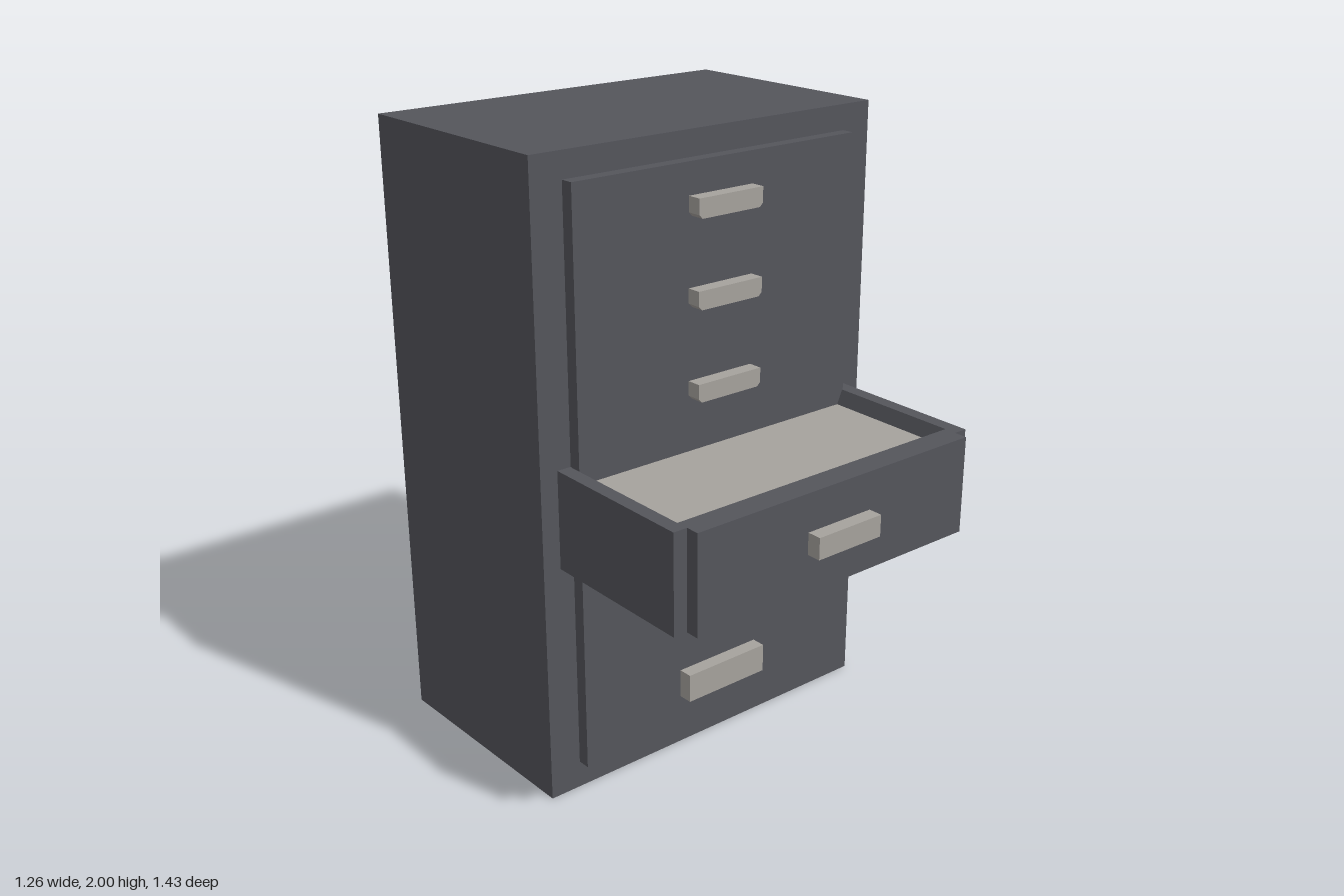
import * as THREE from 'three';

const SKEW = 0.02; // the front and back run slightly out of square

const paint = new THREE.MeshStandardMaterial({ color: 0x54555b });
paint.name = 'dark grey paint';
const metal = new THREE.MeshStandardMaterial({ color: 0xa6a29d });
metal.name = 'pale warm grey';

function add(parent, name, geometry, material) {
  const mesh = new THREE.Mesh(geometry, material);
  mesh.name = name;
  parent.add(mesh);
  return mesh;
}

// Box given by its limits
function box(x0, x1, y0, y1, z0, z1) {
  return new THREE.BoxGeometry(x1 - x0, y1 - y0, z1 - z0)
    .translate((x0 + x1) / 2, (y0 + y1) / 2, (z0 + z1) / 2);
}

// Slide each vertex in z according to its x
function skew(geometry) {
  const p = geometry.attributes.position;
  for (let i = 0; i < p.count; i++) p.setZ(i, p.getZ(i) + SKEW * p.getX(i));
  geometry.computeVertexNormals();
  return geometry;
}

// Handle bar, optionally with its lower corners cut off
function handleGeometry(halfWidth, y0, y1, z0, z1, cut) {
  if (!cut) return box(-halfWidth, halfWidth, y0, y1, z0, z1);
  const s = new THREE.Shape([
    new THREE.Vector2(-halfWidth + cut, y0), new THREE.Vector2(halfWidth - cut, y0),
    new THREE.Vector2(halfWidth, y0 + cut), new THREE.Vector2(halfWidth, y1),
    new THREE.Vector2(-halfWidth, y1), new THREE.Vector2(-halfWidth, y0 + cut),
  ]);
  return new THREE.ExtrudeGeometry(s, { depth: z1 - z0, bevelEnabled: false }).translate(0, 0, z0);
}

// Open tray skin lofted through rectangles [halfWidth, y, zBack, zFront]
function trayGeometry(sections) {
  const rings = sections.map(([w, y, zb, zf]) => [[-w, y, zf], [w, y, zf], [w, y, zb], [-w, y, zb]]);
  const pos = [];
  for (let i = 0; i < rings.length - 1; i++) {
    for (let j = 0; j < 4; j++) {
      const k = (j + 1) % 4;
      const [a, b, c, d] = [rings[i][j], rings[i][k], rings[i + 1][k], rings[i + 1][j]];
      pos.push(...a, ...b, ...c, ...a, ...c, ...d);
    }
  }
  const [a, b, c, d] = rings[0];
  pos.push(...a, ...c, ...b, ...a, ...d, ...c); // underside
  const g = new THREE.BufferGeometry();
  g.setAttribute('position', new THREE.Float32BufferAttribute(pos, 3));
  g.computeVertexNormals();
  return g;
}

export function createModel() {
  const model = new THREE.Group();
  model.name = 'drawerCabinet';

  // Cabinet shell with its raised front and back panels
  add(model, 'cabinetBody', skew(box(-0.631, 0.631, 0, 2, -0.667, 0.094)), paint);
  add(model, 'frontPanel', skew(box(-0.525, 0.525, 0.09, 1.92, 0.08, 0.135)), paint);
  add(model, 'backPanel', skew(box(-0.524, 0.524, 0.41, 0.77, -0.706, -0.65)), paint);

  // Handles of the closed drawers: half width, bottom, top, corner cut
  [
    [0.12, 1.762, 1.822, 0.012],
    [0.121, 1.492, 1.55, 0.012],
    [0.121, 1.207, 1.265, 0.012],
    [0.12, 0.55, 0.63, 0],
    [0.155, 0.2, 0.295, 0],
  ].forEach(([w, y0, y1, cut]) =>
    add(model, 'handle', skew(handleGeometry(w, y0, y1, 0.13, 0.181, cut)), metal));

  // Pulled-out drawer
  const drawer = new THREE.Group();
  drawer.name = 'openDrawer';
  drawer.rotation.y = -SKEW;
  model.add(drawer);
  add(drawer, 'drawerTray', trayGeometry([
    [0.57, 0.773, 0.06, 0.621],
    [0.57, 1.086, 0.06, 0.621],
    [0.525, 1.086, 0.1, 0.581],
    [0.505, 1.04, 0.1, 0.547],
  ]), paint);
  add(drawer, 'drawerFloor', box(-0.506, 0.506, 1.033, 1.04, 0.1, 0.548), metal);
  add(drawer, 'drawerFront', box(-0.524, 0.524, 0.773, 1.086, 0.61, 0.664), paint);
  add(drawer, 'drawerHandle', box(-0.121, 0.121, 0.896, 0.965, 0.655, 0.71), metal);

  return model;
}
